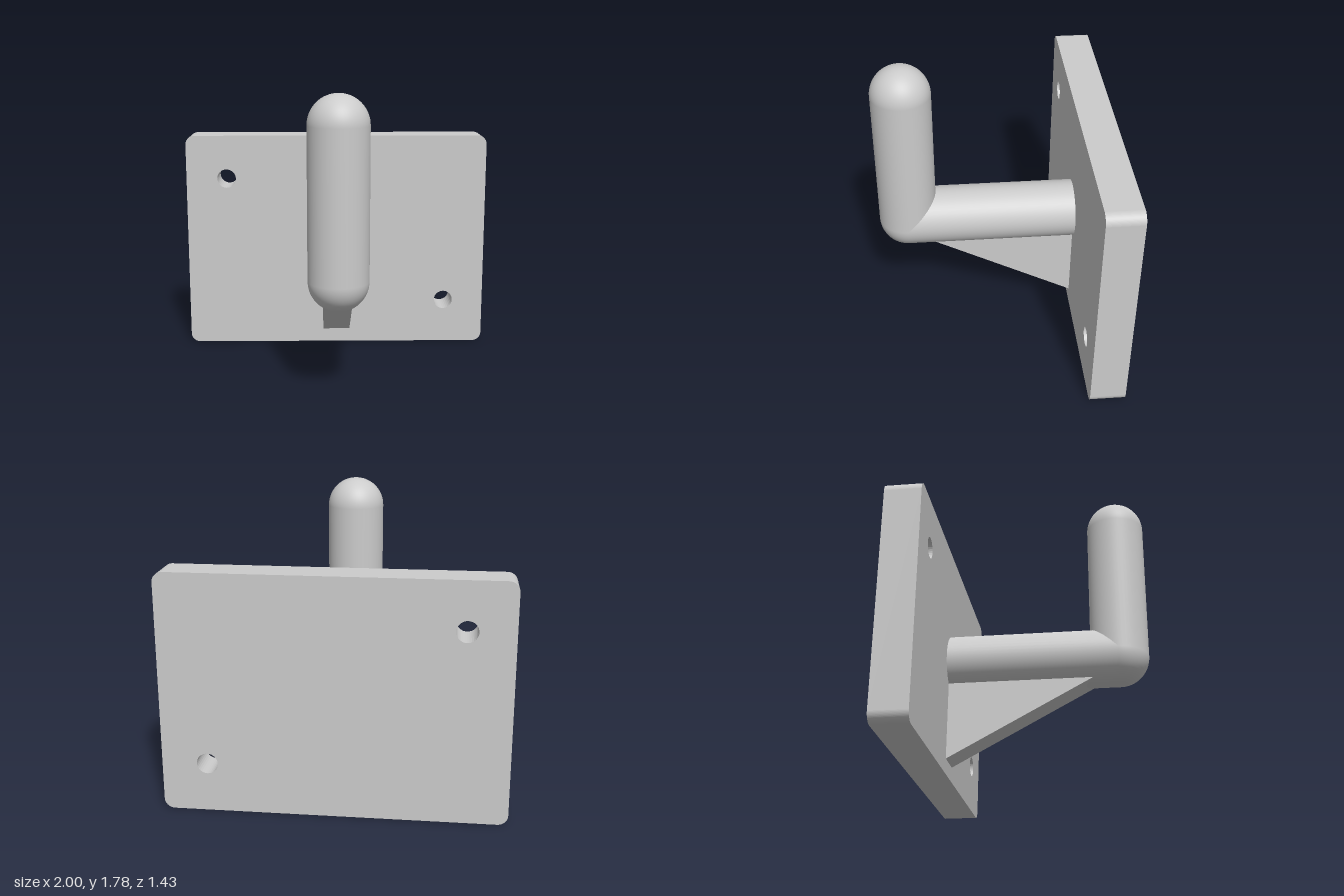
import * as THREE from 'three';

const R = 0.178;        // peg and arm radius
const PEG_Z = 0.537;    // upright peg axis
const ARM_Y = 0.717;    // horizontal arm axis
const PLATE_FRONT = -0.5;
const PLATE_BACK = -0.715;

function roundedRect(x0, y0, x1, y1, r) {
  const s = new THREE.Shape();
  s.absarc(x1 - r, y0 + r, r, -Math.PI / 2, 0, false);
  s.absarc(x1 - r, y1 - r, r, 0, Math.PI / 2, false);
  s.absarc(x0 + r, y1 - r, r, Math.PI / 2, Math.PI, false);
  s.absarc(x0 + r, y0 + r, r, Math.PI, Math.PI * 1.5, false);
  s.closePath();
  return s;
}

export function createModel() {
  const group = new THREE.Group();
  const material = new THREE.MeshStandardMaterial({ color: 0xcccccc });
  const add = (name, geometry) => {
    const mesh = new THREE.Mesh(geometry, material);
    mesh.name = name;
    group.add(mesh);
    return mesh;
  };

  // wall plate with two diagonal screw holes
  const outline = roundedRect(-1, 0, 1, 1.427, 0.06);
  for (const [x, y] of [[-0.733, 1.14], [0.733, 0.295]]) {
    outline.holes.push(new THREE.Path().absarc(x, y, 0.062, 0, Math.PI * 2, true));
  }
  const plate = add('wallPlate', new THREE.ExtrudeGeometry(outline, {
    depth: PLATE_FRONT - PLATE_BACK, bevelEnabled: false, curveSegments: 16,
  }));
  plate.position.z = PLATE_BACK;

  // upright peg with domed ends
  const pegLength = 1.785 - R - ARM_Y;
  const peg = add('uprightPeg', new THREE.CapsuleGeometry(R, pegLength, 16, 48));
  peg.position.set(0, ARM_Y + pegLength / 2, PEG_Z);

  // horizontal arm from the plate to the peg axis
  const armLength = PEG_Z - PLATE_FRONT;
  const arm = add('arm', new THREE.CylinderGeometry(R, R, armLength, 48, 1, true));
  arm.rotation.x = Math.PI / 2;
  arm.position.set(0, ARM_Y, PLATE_FRONT + armLength / 2);

  // triangular gusset under the arm, drawn in (z, y); its top is buried in the arm
  const profile = new THREE.Shape([
    [PLATE_FRONT, 0.09], [0.45, 0.603], [0.45, ARM_Y], [PLATE_FRONT, ARM_Y],
  ].map(([z, y]) => new THREE.Vector2(z, y)));
  const gusset = new THREE.ExtrudeGeometry(profile, { depth: 0.18, bevelEnabled: false });
  gusset.translate(0, 0, -0.09).rotateY(-Math.PI / 2);
  add('gusset', gusset);

  return group;
}
